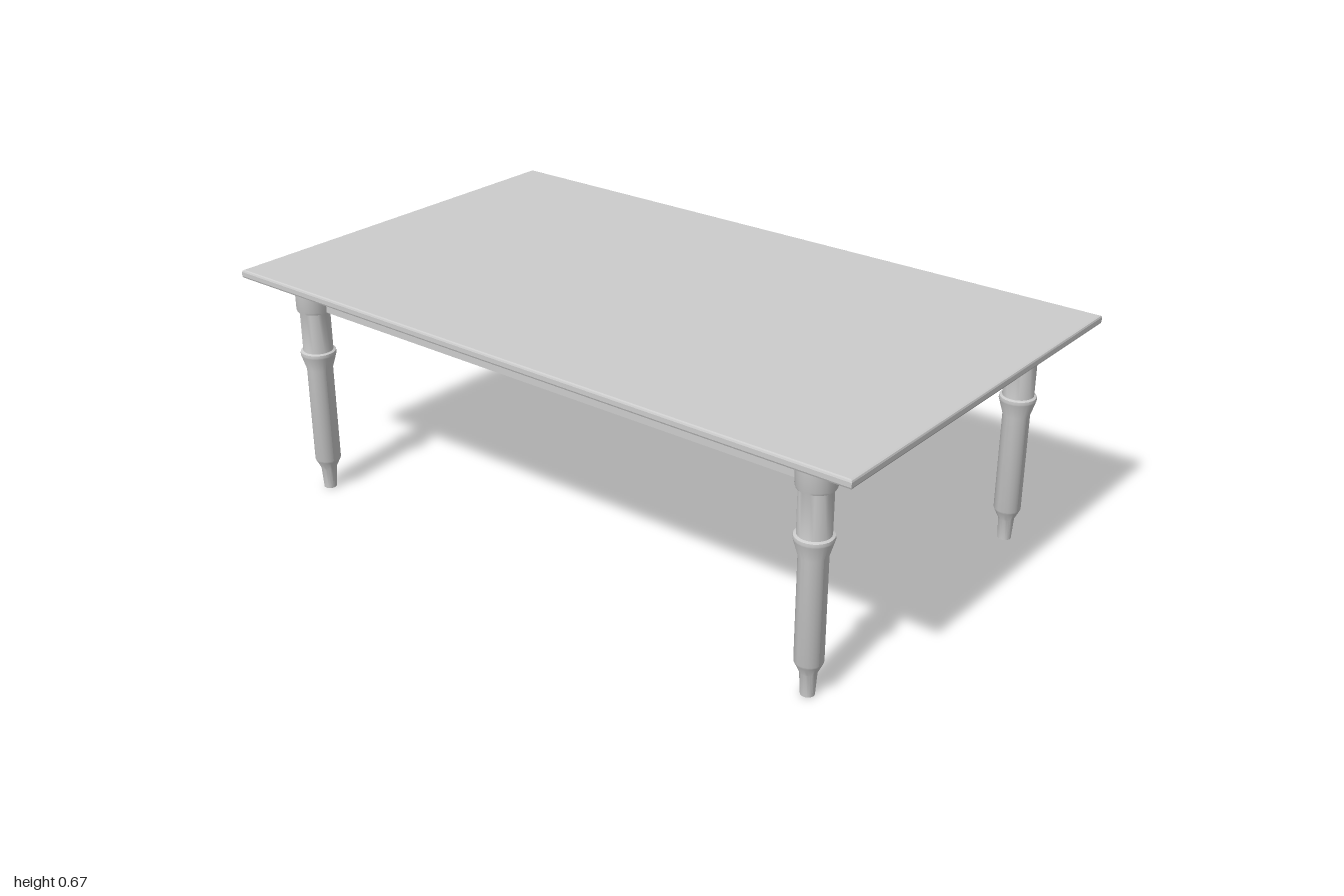
import * as THREE from 'three';
import { toCreasedNormals } from 'three/addons/utils/BufferGeometryUtils.js';

const material = new THREE.MeshStandardMaterial({ color: 0xcccccc });

function addMesh(parent, name, geometry, x = 0, y = 0, z = 0) {
  const mesh = new THREE.Mesh(geometry, material);
  mesh.name = name;
  mesh.position.set(x, y, z);
  parent.add(mesh);
  return mesh;
}

// Flat slab with softened upper and lower edges, resting on y = 0
function slabGeometry(width, height, depth, bevel) {
  const w = width / 2 - bevel, d = depth / 2 - bevel;
  const shape = new THREE.Shape([
    new THREE.Vector2(-w, -d), new THREE.Vector2(w, -d),
    new THREE.Vector2(w, d), new THREE.Vector2(-w, d),
  ]);
  const geometry = new THREE.ExtrudeGeometry(shape, {
    depth: height - 2 * bevel, bevelThickness: bevel, bevelSize: bevel, bevelSegments: 2,
  });
  geometry.rotateX(-Math.PI / 2);
  geometry.translate(0, bevel, 0);
  return geometry;
}

// Turned leg: [radius, height] from the foot up
function legGeometry() {
  const profile = [
    [0, 0], [0.018, 0], [0.022, 0.063], [0.034, 0.088], [0.0365, 0.094],
    [0.0365, 0.378], [0.049, 0.42], [0.05, 0.424], [0.049, 0.431], [0.042, 0.434],
    [0.042, 0.552], [0.047, 0.553], [0.05, 0.56], [0.05, 0.645], [0, 0.645],
  ].map(([r, y]) => new THREE.Vector2(r, y));
  return toCreasedNormals(new THREE.LatheGeometry(profile, 24), 0.5);
}

export function createModel() {
  const table = new THREE.Group();
  table.name = 'table';
  const legX = 0.48, legZ = 0.84;

  addMesh(table, 'tableTop', slabGeometry(1.184, 0.024, 2, 0.006), 0, 0.641, 0);

  // Solid frame under the top, running between the leg centres
  addMesh(table, 'apron', new THREE.BoxGeometry(legX * 2, 0.085, legZ * 2), 0, 0.5985, 0);

  const leg = legGeometry();
  for (const [side, sx] of [['Left', 1], ['Right', -1]]) {
    for (const [end, sz] of [['front', 1], ['back', -1]]) {
      addMesh(table, `${end}${side}Leg`, leg, sx * legX, 0, sz * legZ);
    }
  }
  return table;
}
